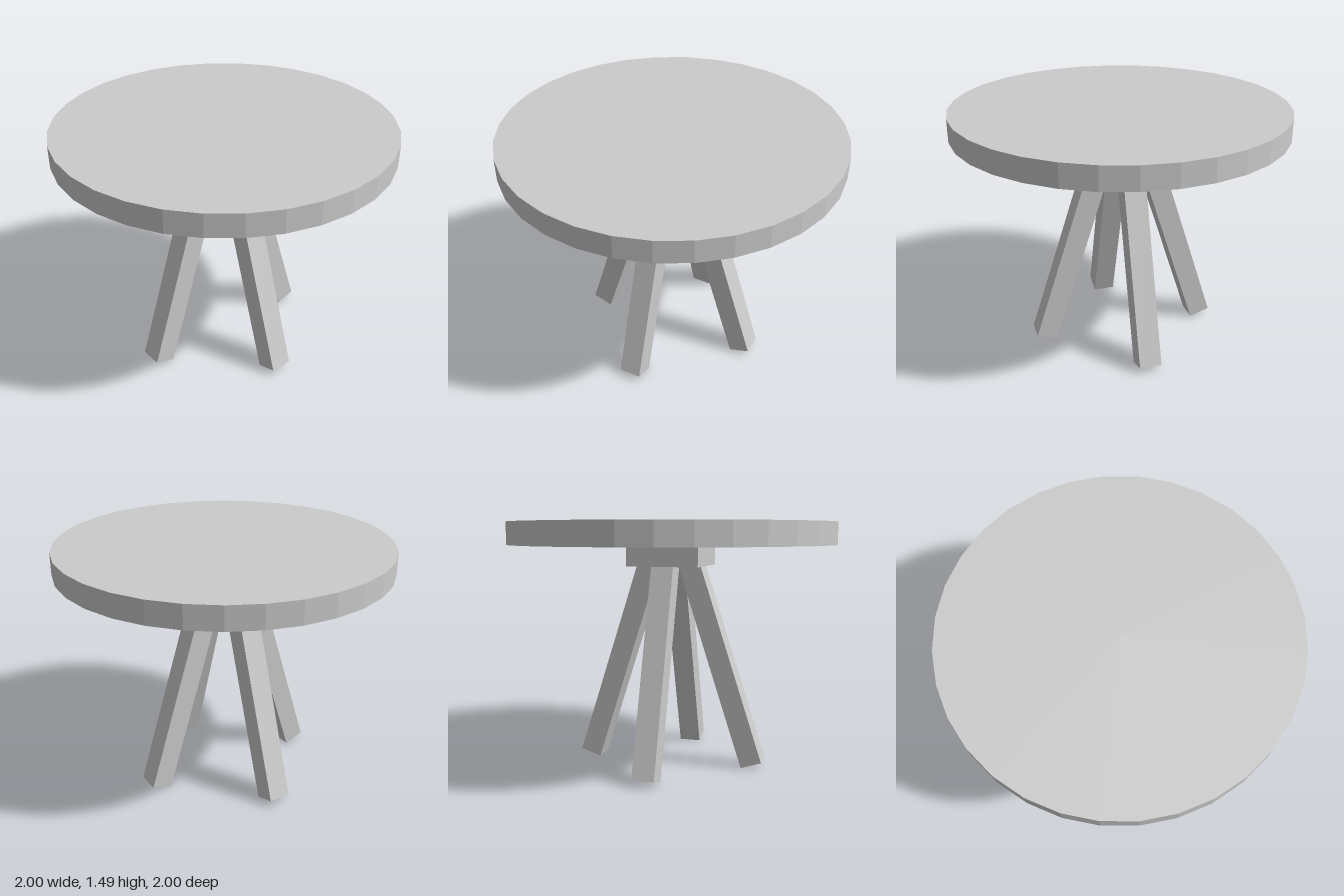
import * as THREE from 'three';

export function createModel() {
  const model = new THREE.Group();
  const material = new THREE.MeshStandardMaterial({ color: 0xcccccc, flatShading: true });

  const add = (name, geometry, parent = model) => {
    const mesh = new THREE.Mesh(geometry, material);
    mesh.name = name;
    parent.add(mesh);
    return mesh;
  };

  // Round tabletop
  add('tabletop', new THREE.CylinderGeometry(1, 1, 0.135, 32)).position.y = 1.4275;

  // Square block under the top that holds the legs
  add('mountingBlock', new THREE.BoxGeometry(0.443, 0.13, 0.443)).position.y = 1.295;

  // Four square legs, splayed outward along the axes, their tops set into the block
  const legs = new THREE.Group();
  legs.name = 'legs';
  legs.position.set(-0.003, 0, -0.0175);
  model.add(legs);

  const legGeometry = new THREE.BoxGeometry(0.132, 1.33, 0.135)
    .translate(0, 0.665, 0)
    .rotateZ(0.313)
    .translate(0.524, 0.0205, 0);
  ['leftLeg', 'backLeg', 'rightLeg', 'frontLeg'].forEach((name, i) => {
    add(name, legGeometry, legs).rotation.y = (i * Math.PI) / 2;
  });

  return model;
}
